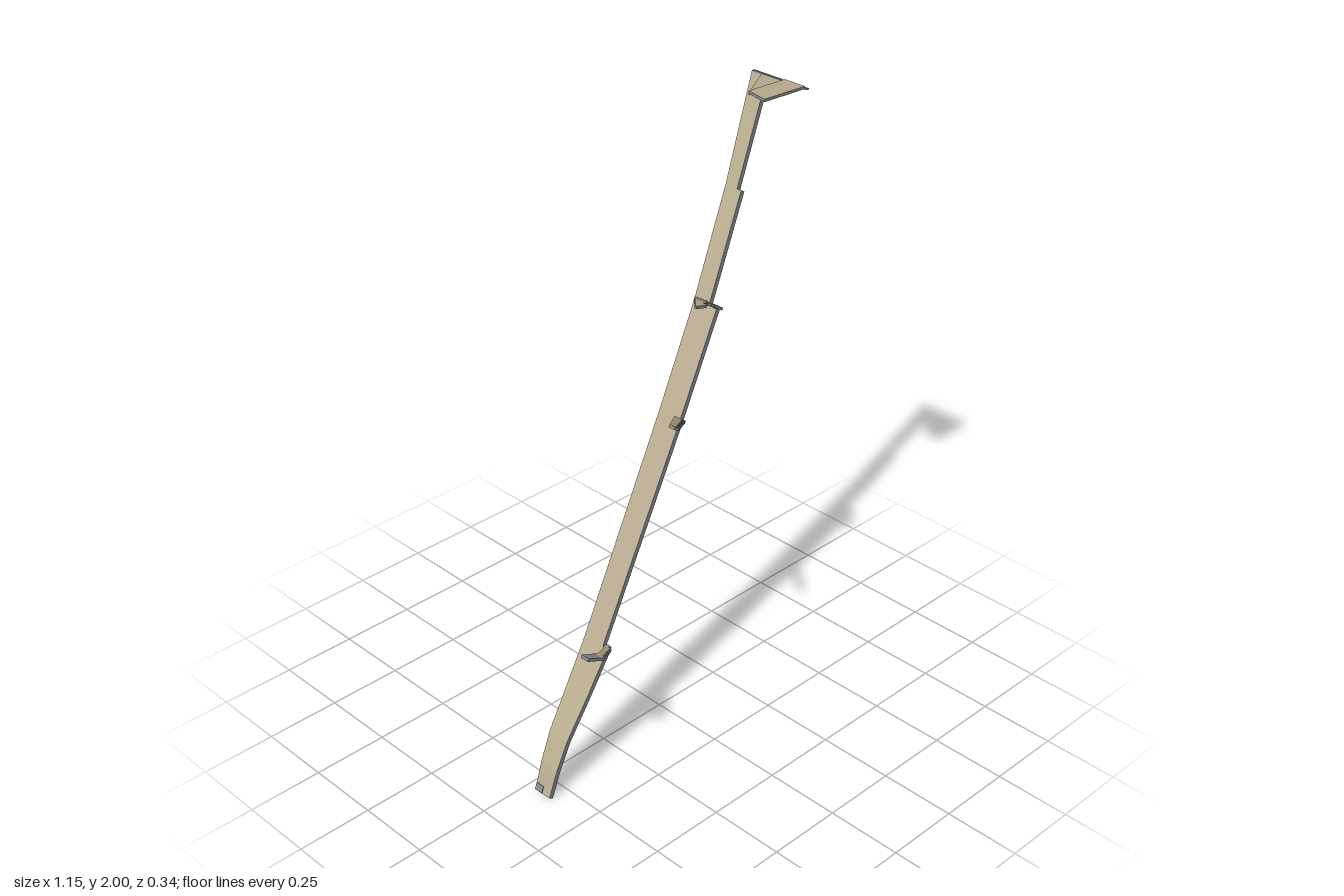
import * as THREE from 'three';

const bark = new THREE.MeshStandardMaterial({ color: 0xb8ab8f });
bark.name = 'bark';
const edge = new THREE.MeshStandardMaterial({ color: 0x878c91 });
edge.name = 'edge grey';

// Thin slab through sections [x, y, zBack, zFront], ordered by rising x.
// Materials: broad faces, front rim with end caps, back rim.
function slab(name, sections, thickness, materials = [bark, edge, edge]) {
  const a = sections[0], b = sections[sections.length - 1];
  const len = Math.hypot(b[0] - a[0], b[1] - a[1]);
  const nx = -(b[1] - a[1]) / len * thickness / 2;
  const ny = (b[0] - a[0]) / len * thickness / 2;
  const rings = sections.map(([x, y, zb, zf]) => [
    [x + nx, y + ny, zb], [x + nx, y + ny, zf],
    [x - nx, y - ny, zf], [x - nx, y - ny, zb],
  ]);
  const faces = [[], [], []];
  const quad = (m, p, q, r, s) => faces[m].push(...p, ...q, ...r, ...p, ...r, ...s);
  const sideMaterial = [0, 1, 0, 2];
  for (let i = 0; i < rings.length - 1; i++) {
    const u = rings[i], v = rings[i + 1];
    for (let k = 0; k < 4; k++) {
      const n = (k + 1) % 4;
      quad(sideMaterial[k], u[k], u[n], v[n], v[k]);
    }
  }
  const s = rings[0], e = rings[rings.length - 1];
  quad(1, s[0], s[3], s[2], s[1]);
  quad(1, e[0], e[1], e[2], e[3]);

  const geo = new THREE.BufferGeometry();
  geo.setAttribute('position', new THREE.Float32BufferAttribute(faces.flat(), 3));
  let start = 0;
  faces.forEach((f, i) => {
    geo.addGroup(start, f.length / 3, i);
    start += f.length / 3;
  });
  geo.computeVertexNormals();
  const mesh = new THREE.Mesh(geo, materials);
  mesh.name = name;
  return mesh;
}

// Turns sections into a staircase along the front rim
function stepped(sections) {
  const out = [];
  sections.forEach((s, i) => {
    if (i) out.push([s[0], s[1], s[2], sections[i - 1][3]]);
    out.push(s);
  });
  return out;
}

export function createModel() {
  const model = new THREE.Group();
  model.name = 'leaningBranch';
  const grey = [edge, edge, edge];

  // Long leaning stem, bark on its back rim
  model.add(slab('stem', [
    [-0.568, 0.005, 0.04, 0.104],
    [-0.535, 0.09, 0.033, 0.104],
    [-0.49, 0.18, 0.025, 0.104],
    [-0.4, 0.31, 0.012, 0.104],
    [-0.315, 0.44, 0.002, 0.104],
    [-0.315, 0.44, 0.002, 0.082],
    [0.06, 1.06, -0.055, 0.034],
    [0.24, 1.36, -0.088, 0.006],
    [0.24, 1.36, -0.088, -0.026],
    [0.413, 1.67, -0.13, -0.065],
    [0.413, 1.67, -0.13, -0.082],
    [0.562, 1.978, -0.172, -0.11],
  ], 0.016, [bark, edge, bark]));

  // Small grey patch at the stem's foot
  model.add(slab('stemFoot', [
    [-0.5755, 0.0095, 0.04, 0.07],
    [-0.567, 0.031, 0.039, 0.07],
  ], 0.003, grey));

  // Lower twig with a blunt grey tip
  model.add(slab('lowerTwig', stepped([
    [-0.415, 0.488, 0.14, 0.17],
    [-0.395, 0.478, 0.136, 0.155],
    [-0.375, 0.468, 0.125, 0.14],
    [-0.355, 0.458, 0.112, 0.128],
    [-0.335, 0.449, 0.098, 0.115],
    [-0.318, 0.441, 0.082, 0.1],
    [-0.305, 0.436, 0.075, 0.1],
  ]), 0.01));
  model.add(slab('lowerTwigTip', [
    [-0.463, 0.509, 0.14, 0.17],
    [-0.415, 0.488, 0.14, 0.17],
  ], 0.01, grey));

  // Middle twig, an even staircase
  const middle = [];
  for (let i = 0; i <= 8; i++) {
    const t = i / 8;
    middle.push([-0.105 + 0.167 * t, 1.155 - 0.097 * t, 0.146 - 0.146 * t, 0.168 - 0.138 * t]);
  }
  model.add(slab('middleTwig', stepped(middle), 0.009));

  // Upper twig, wider and arched
  model.add(slab('upperTwig', stepped([
    [0.075, 1.45, 0.07, 0.076],
    [0.12, 1.438, 0.025, 0.056],
    [0.143, 1.428, 0, 0.042],
    [0.175, 1.41, -0.03, 0.026],
    [0.205, 1.39, -0.04, 0.017],
    [0.248, 1.362, -0.05, 0.017],
  ]), 0.009));

  // Leaf blade at the top, a thin web tapering back to the stem, and a grey end strip
  model.add(slab('leafBlade', [
    [0.381, 1.995, 0.038, 0.042],
    [0.4, 1.994, -0.038, 0.042],
    [0.555, 1.988, -0.038, 0.042],
  ], 0.009));
  model.add(slab('leafWeb', [
    [0.4, 1.988, -0.039, -0.036],
    [0.555, 1.982, -0.132, -0.036],
  ], 0.005));
  model.add(slab('leafEnd', [
    [0.555, 1.984, -0.17, 0.042],
    [0.572, 1.979, -0.175, 0.042],
  ], 0.005, grey));

  return model;
}
